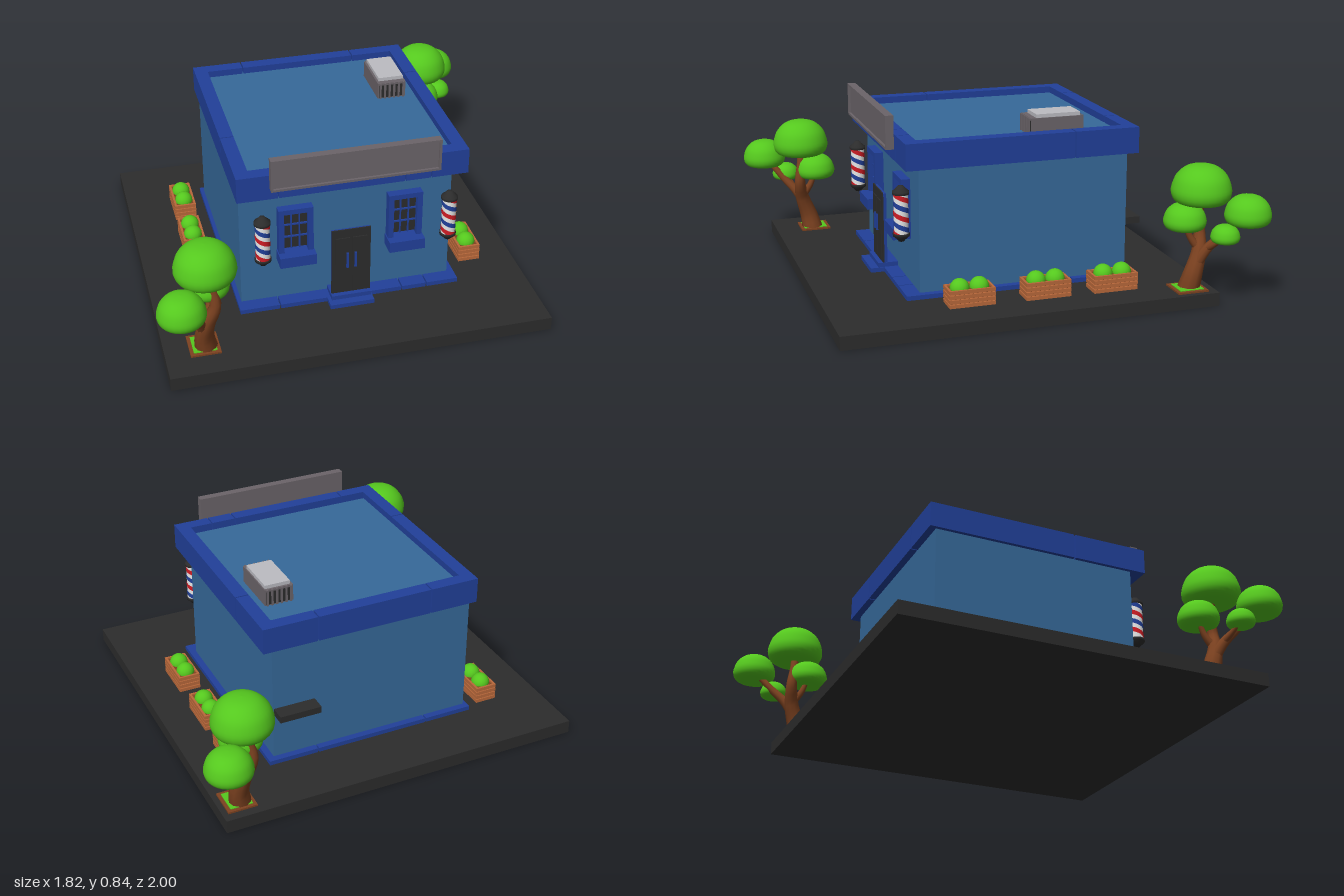
import * as THREE from 'three';
import { ParametricGeometry } from 'three/addons/geometries/ParametricGeometry.js';

const mat = (name, color) => Object.assign(new THREE.MeshStandardMaterial({ color }), { name });

export function createModel() {
  const wall = mat('wall blue', 0x36699a), trim = mat('trim blue', 0x21409a);
  const dark = mat('charcoal', 0x2c2c2c), grey = mat('sign grey', 0x6b6469);
  const pale = mat('pale metal', 0xbcbcc2), leaf = mat('leaf green', 0x55c81e);
  const wood = mat('planter wood', 0xb9683a), bark = mat('bark brown', 0x7d4220);
  const red = mat('pole red', 0xcf1c24), white = mat('pole white', 0xececec);

  const model = new THREE.Group();
  const group = (name, parent = model) => {
    const g = new THREE.Group();
    g.name = name;
    parent.add(g);
    return g;
  };
  const add = (parent, name, geometry, material) => {
    const m = new THREE.Mesh(geometry, material);
    m.name = name;
    parent.add(m);
    return m;
  };
  // box given by its limits on each axis
  const box = (parent, name, material, x0, x1, y0, y1, z0, z1) => {
    const m = add(parent, name, new THREE.BoxGeometry(x1 - x0, y1 - y0, z1 - z0), material);
    m.position.set((x0 + x1) / 2, (y0 + y1) / 2, (z0 + z1) / 2);
    return m;
  };

  // ground slab and building body
  box(model, 'groundSlab', dark, -0.88, 0.78, 0, 0.06, -0.8, 0.86);
  box(model, 'walls', wall, -0.5, 0.44, 0.06, 0.715, -0.5, 0.44);

  // rectangular ring of blocks with narrow joints
  const ring = (name, x0, x1, z0, z1, y0, y1, t, cuts) => {
    const g = group(name), gap = 0.003;
    const runs = (a, b, c) => [a, ...c].map((s, i) =>
      [s + (i ? gap : 0), i < c.length ? c[i] - gap : b]);
    for (const [a, b] of runs(x0, x1, cuts.front)) box(g, 'frontBlock', trim, a, b, y0, y1, z1 - t, z1);
    for (const [a, b] of runs(x0, x1, cuts.back)) box(g, 'backBlock', trim, a, b, y0, y1, z0, z0 + t);
    for (const [a, b] of runs(z0 + t, z1 - t, cuts.left)) box(g, 'leftBlock', trim, x1 - t, x1, y0, y1, a, b);
    for (const [a, b] of runs(z0 + t, z1 - t, cuts.right)) box(g, 'rightBlock', trim, x0, x0 + t, y0, y1, a, b);
  };
  const cuts = { front: [-0.34, 0.21, 0.325], back: [-0.29, 0.24], left: [-0.24], right: [0.155] };
  ring('parapet', -0.517, 0.49, -0.532, 0.507, 0.63, 0.745, 0.06, cuts);
  ring('baseTrim', -0.517, 0.47, -0.53, 0.505, 0.06, 0.08, 0.07, cuts);

  // sign board with a raised rim
  const sign = group('signBoard');
  box(sign, 'panel', grey, -0.37, 0.34, 0.7, 0.83, 0.522, 0.545);
  for (const y of [0.692, 0.828]) box(sign, 'rim', grey, -0.38, 0.35, y, y + 0.01, 0.52, 0.556);
  for (const x of [-0.38, 0.34]) box(sign, 'rim', grey, x, x + 0.01, 0.702, 0.828, 0.52, 0.556);

  // double door and steps
  const door = group('door');
  box(door, 'doorBack', trim, -0.11, 0.06, 0.1, 0.42, 0.488, 0.502);
  box(door, 'doorFrame', dark, -0.112, 0.062, 0.1, 0.425, 0.502, 0.508);
  for (const s of [-1, 1]) {
    const c = -0.025 + s * 0.038;
    box(door, 'leaf', dark, c - 0.032, c + 0.032, 0.105, 0.385, 0.508, 0.513);
    const h = -0.025 + s * 0.018;
    box(door, 'handle', trim, h - 0.005, h + 0.005, 0.235, 0.31, 0.513, 0.521);
  }
  box(door, 'lowerStep', trim, -0.13, 0.067, 0.06, 0.08, 0.44, 0.566);
  box(door, 'upperStep', trim, -0.115, 0.062, 0.08, 0.1, 0.44, 0.53);

  // windows with glazing bars and a deep sill
  for (const c of [-0.26, 0.225]) {
    const w = group('window');
    box(w, 'glass', dark, c - 0.06, c + 0.06, 0.34, 0.53, 0.44, 0.455);
    for (const s of [-1, 1]) {
      box(w, 'jamb', trim, c + s * 0.064 - 0.012, c + s * 0.064 + 0.012, 0.33, 0.545, 0.44, 0.48);
      box(w, 'verticalBar', trim, c + s * 0.018 - 0.003, c + s * 0.018 + 0.003, 0.34, 0.53, 0.455, 0.463);
    }
    box(w, 'head', trim, c - 0.052, c + 0.052, 0.522, 0.545, 0.44, 0.48);
    for (const y of [0.4, 0.46]) box(w, 'crossBar', trim, c - 0.052, c + 0.052, y - 0.003, y + 0.003, 0.455, 0.463);
    box(w, 'sill', trim, c - 0.08, c + 0.08, 0.28, 0.33, 0.44, 0.52);
  }

  // striped poles: white core, two helical ribbons, dark caps
  const low = 0.345, high = 0.515, pitch = 0.085, turns = 3.5;
  const ribbon = (start) => new ParametricGeometry((u, v, p) => {
    const a = u * turns * Math.PI * 2;
    const y = high + 0.08 + start - u * turns * pitch + v * 0.022;
    p.set(0.0325 * Math.sin(a), THREE.MathUtils.clamp(y, low, high), 0.0325 * Math.cos(a));
  }, 100, 1);
  const cap = new THREE.LatheGeometry([[0.031, 0], [0.036, 0], [0.036, 0.012], [0.019, 0.027],
    [0.012, 0.036], [0, 0.038]].map(([x, y]) => new THREE.Vector2(x, y)), 20);
  for (const x of [-0.413, 0.41]) {
    const p = group('stripedPole');
    p.position.set(x, 0, 0.51);
    add(p, 'core', new THREE.CylinderGeometry(0.031, 0.031, high - low, 24), white).position.y = (low + high) / 2;
    add(p, 'redStripe', ribbon(0), red);
    add(p, 'blueStripe', ribbon(pitch / 2), trim);
    add(p, 'topCap', cap, dark).position.y = high;
    const bottom = add(p, 'bottomCap', cap, dark);
    bottom.position.y = low;
    bottom.rotation.x = Math.PI;
  }

  // rooftop cooling unit and rear ledge
  const unit = group('coolingUnit');
  box(unit, 'housing', grey, 0.255, 0.385, 0.71, 0.79, -0.31, -0.075);
  box(unit, 'lid', pale, 0.265, 0.38, 0.79, 0.806, -0.3, -0.1);
  for (let i = 0; i < 6; i++) {
    const x = 0.262 + i * 0.0215;
    for (const z of [-0.317, -0.075]) box(unit, 'fin', grey, x, x + 0.009, 0.715, 0.79, z, z + 0.007);
  }
  for (const z of [-0.3125, -0.075]) box(unit, 'grilleShadow', dark, 0.26, 0.38, 0.72, 0.78, z, z + 0.0025);
  box(model, 'rearLedge', dark, 0.245, 0.435, 0.295, 0.325, -0.57, -0.5);

  // slatted planters with two bushes each
  const planter = (x, z) => {
    const g = group('planter');
    g.position.set(x, 0.06, z);
    box(g, 'soil', bark, -0.041, 0.041, 0, 0.07, -0.091, 0.091);
    for (let i = 0; i < 4; i++) {
      const y = 0.002 + i * 0.02, top = y + 0.016;
      for (const s of [-1, 1]) {
        box(g, 'sideSlat', wood, s * 0.045 - 0.005, s * 0.045 + 0.005, y, top, -0.1, 0.1);
        box(g, 'endSlat', wood, -0.04, 0.04, y, top, s * 0.095 - 0.005, s * 0.095 + 0.005);
      }
    }
    for (const s of [-1, 1])
      add(g, 'bush', new THREE.SphereGeometry(0.042, 16, 12), leaf).position.set(0, 0.073, s * 0.043);
  };
  [[0.585, -0.38], [0.58, -0.075], [0.575, 0.262], [-0.622, -0.4], [-0.628, -0.1], [-0.633, 0.245]]
    .forEach(([x, z]) => planter(x, z));

  // trees: tapered limbs and dome crowns
  const limb = (points, r0, r1) => {
    const curve = new THREE.CatmullRomCurve3(points.map(p => new THREE.Vector3(...p)));
    const n = 16, sides = 10, geo = new THREE.TubeGeometry(curve, n, 1, sides);
    const pos = geo.attributes.position, v = new THREE.Vector3();
    for (let i = 0; i < pos.count; i++) {
      const t = Math.floor(i / (sides + 1)) / n, c = curve.getPointAt(t);
      const r = r1 + (r0 - r1) * (1 - t) ** 1.5;
      v.fromBufferAttribute(pos, i).sub(c).multiplyScalar(r).add(c);
      pos.setXYZ(i, v.x, v.y, v.z);
    }
    return geo;
  };
  const dome = new THREE.LatheGeometry(new THREE.SplineCurve([[0, 0.03], [0.55, 0], [0.88, 0.08], [1, 0.28],
    [0.96, 0.5], [0.84, 0.71], [0.6, 0.89], [0.32, 0.975], [0, 1]]
    .map(([x, y]) => new THREE.Vector2(x, y))).getPoints(24).map(p => p.setX(Math.max(p.x, 0))), 28);
  const tree = () => {
    const g = group('tree');
    box(g, 'plantingFrame', bark, -0.775, -0.645, 0.06, 0.068, 0.605, 0.745);
    box(g, 'grassPatch', leaf, -0.76, -0.66, 0.068, 0.071, 0.62, 0.73);
    [[[[-0.7, 0.06, 0.685], [-0.708, 0.13, 0.7], [-0.695, 0.22, 0.73], [-0.662, 0.31, 0.745], [-0.675, 0.4, 0.735], [-0.693, 0.48, 0.73]], 0.05, 0.017],
      [[[-0.706, 0.15, 0.7], [-0.73, 0.24, 0.75], [-0.765, 0.31, 0.81], [-0.81, 0.4, 0.88]], 0.029, 0.014],
      [[[-0.69, 0.23, 0.73], [-0.68, 0.29, 0.69], [-0.68, 0.36, 0.665]], 0.02, 0.011],
      [[[-0.735, 0.245, 0.75], [-0.78, 0.28, 0.77], [-0.815, 0.33, 0.79]], 0.016, 0.009],
    ].forEach(([p, a, b], i) => add(g, i ? 'branch' : 'trunk', limb(p, a, b), bark));
    [[-0.695, 0.437, 0.73, 0.13, 0.173], [-0.82, 0.362, 0.89, 0.1, 0.132],
      [-0.68, 0.322, 0.665, 0.093, 0.118], [-0.815, 0.29, 0.79, 0.063, 0.08],
    ].forEach(([x, y, z, r, h]) => {
      const m = add(g, 'crown', dome, leaf);
      m.position.set(x, y, z);
      m.scale.set(r, h, r);
    });
    return g;
  };
  tree();
  const rearTree = tree();
  rearTree.rotation.y = Math.PI;
  rearTree.position.set(-0.02, 0, -0.015);

  return model;
}
